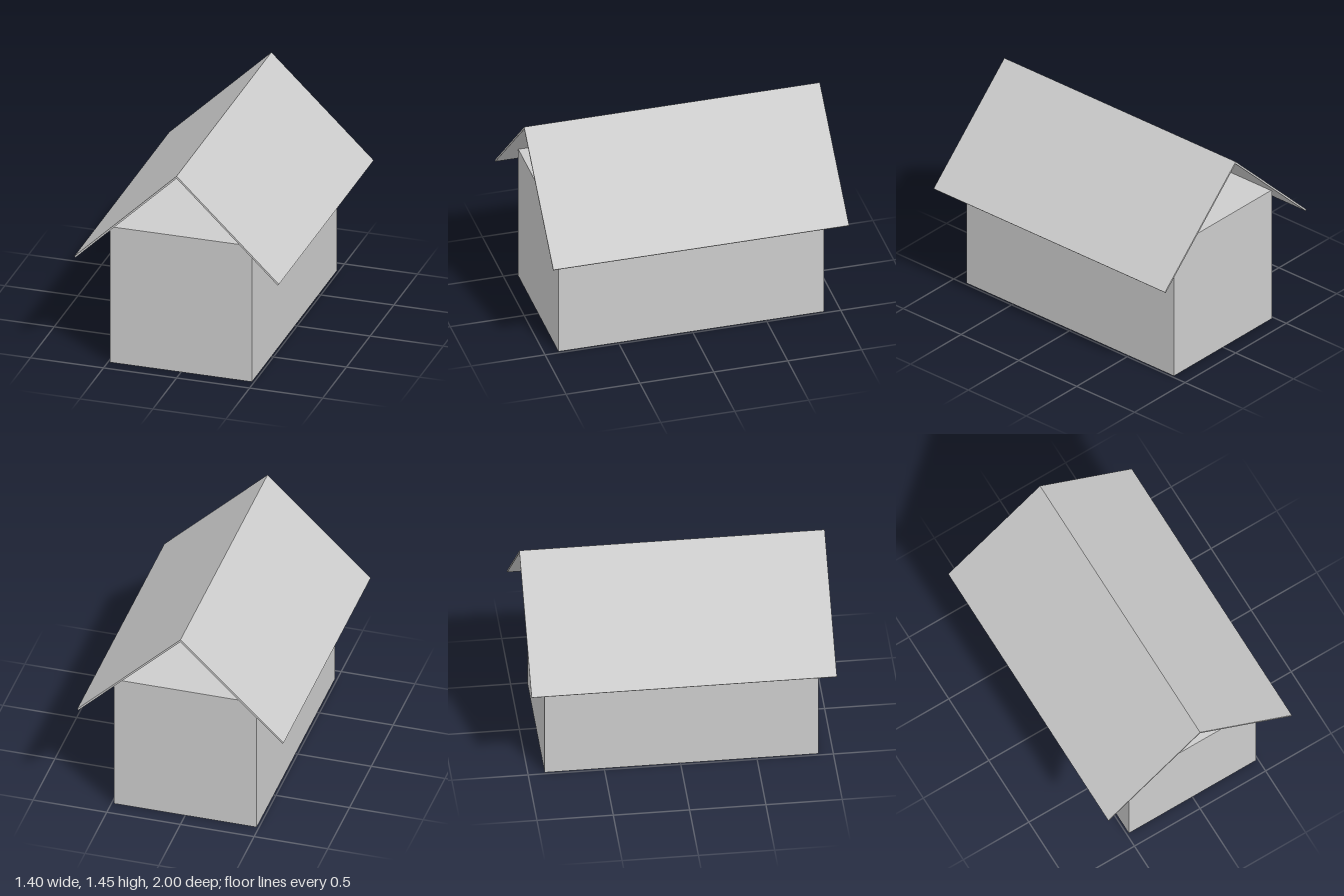
import * as THREE from 'three';

export function createModel() {
  const model = new THREE.Group();
  model.name = 'house';
  const lightGrey = new THREE.MeshStandardMaterial({ color: 0xcccccc });
  lightGrey.name = 'lightGrey';

  // Plain block body with a flat top
  const body = new THREE.Mesh(new THREE.BoxGeometry(0.97, 0.975, 1.795), lightGrey);
  body.name = 'body';
  body.position.set(0, 0.4875, 0.0075);
  model.add(body);

  // Thin gable roof, open at both ends: one mitred slab per side
  const ridge = 1.45, eaveX = 0.7, eaveY = 0.774, thickness = 0.012;
  const length = Math.hypot(eaveX, ridge - eaveY);
  const nx = (ridge - eaveY) / length, ny = eaveX / length;
  for (const side of [1, -1]) {
    const profile = new THREE.Shape([
      [0, ridge],
      [eaveX, eaveY],
      [eaveX - nx * thickness, eaveY - ny * thickness],
      [0, ridge - thickness / ny],
    ].map(([x, y]) => new THREE.Vector2(side * x, y)));
    const geometry = new THREE.ExtrudeGeometry(profile, { depth: 2, bevelEnabled: false });
    geometry.translate(0, 0, -1);
    const slab = new THREE.Mesh(geometry, lightGrey);
    slab.name = side > 0 ? 'leftRoofSlab' : 'rightRoofSlab';
    model.add(slab);
  }
  return model;
}
